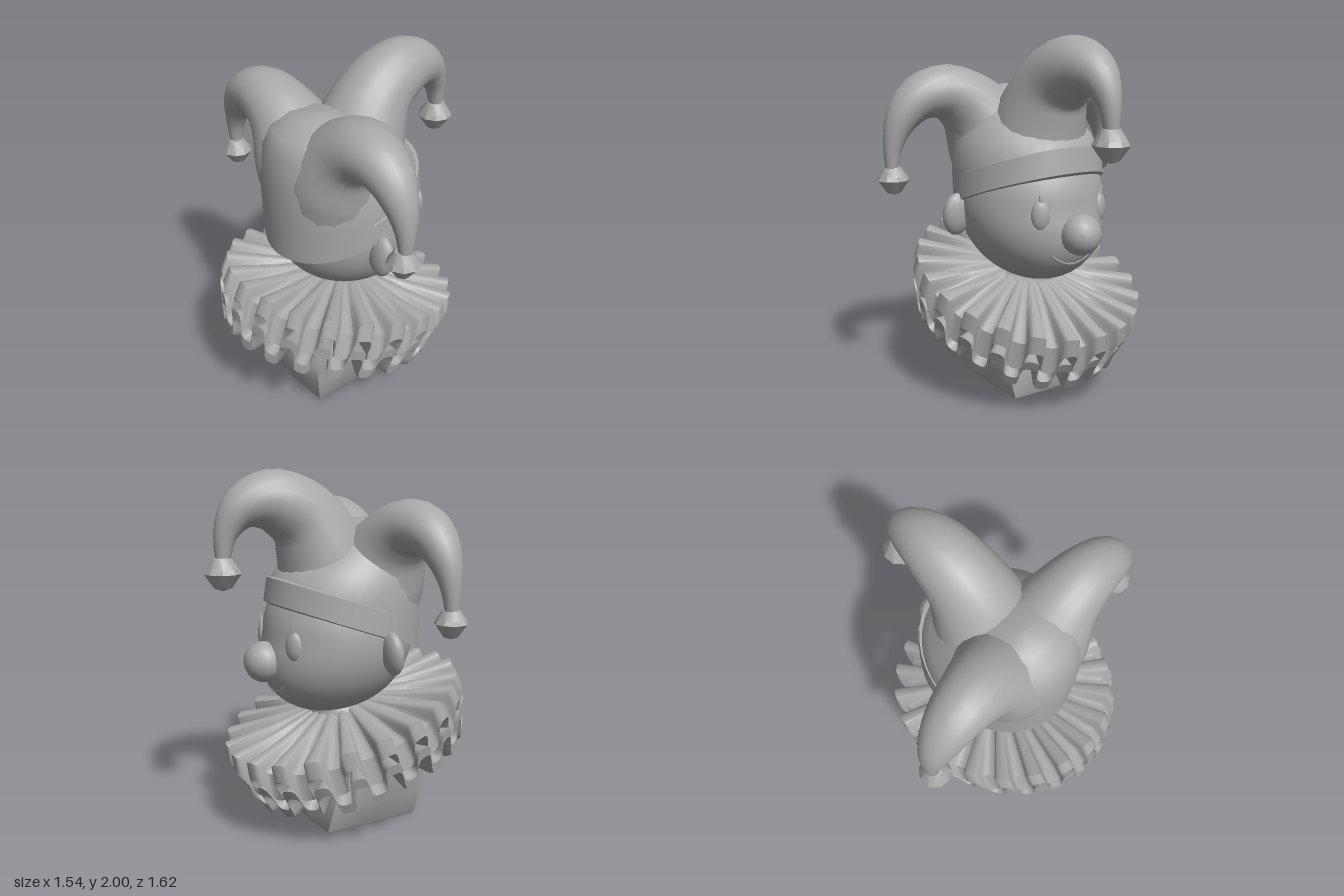
import * as THREE from 'three';
import { toCreasedNormals } from 'three/addons/utils/BufferGeometryUtils.js';

const grey = new THREE.MeshStandardMaterial({ color: 0xa8a8a8, side: THREE.DoubleSide });
grey.name = 'plain grey';

function add(parent, name, geometry, x = 0, y = 0, z = 0) {
  const mesh = new THREE.Mesh(geometry, grey);
  mesh.name = name;
  mesh.position.set(x, y, z);
  parent.add(mesh);
  return mesh;
}

// Skin over rows of points; point(row, u) returns [x, y, z] with u from 0 to 1
function loft(rows, segments, point, crease, wrap = true) {
  const pos = [], index = [];
  const n = wrap ? segments : segments + 1;
  for (let r = 0; r < rows; r++)
    for (let s = 0; s < n; s++) pos.push(...point(r, s / segments));
  for (let r = 0; r < rows - 1; r++)
    for (let s = 0; s < segments; s++) {
      const a = r * n + s, b = r * n + (s + 1) % n;
      index.push(a, a + n, b, b, a + n, b + n);
    }
  const g = new THREE.BufferGeometry();
  g.setAttribute('position', new THREE.Float32BufferAttribute(pos, 3));
  g.setIndex(index);
  g.computeVertexNormals();
  return crease ? toCreasedNormals(g, crease) : g;
}

// Curved tapering hat horn; points are [outward, height, radius], drift shifts the root sideways
function hornGeometry(points, widen, drift) {
  const curve = new THREE.CatmullRomCurve3(points.map(p => new THREE.Vector3(...p)));
  const rows = 22;
  return loft(rows, 20, (r, u) => {
    const t = r / (rows - 1), p = curve.getPoint(t), d = curve.getTangent(t);
    const len = Math.hypot(d.x, d.y), a = u * Math.PI * 2;
    const c = Math.cos(a) * p.z, s = Math.sin(a) * p.z * widen;
    return [p.x - d.y / len * c, p.y + d.x / len * c, s + drift * (1 - t) ** 2];
  });
}

function bellGeometry() {
  const profile = [[0, -0.09], [0.045, -0.075], [0.098, 0], [0.085, 0.025], [0.05, 0.08], [0, 0.09]];
  return toCreasedNormals(new THREE.LatheGeometry(profile.map(p => new THREE.Vector2(...p)), 9), 0.6);
}

// Head ellipsoid with the jaw pushed forward
const HEAD = { y: 1.1, rx: 0.43, ry: 0.44, rz: 0.405 };
const jutJaw = (x, y) => x + 0.15 * Math.max(0, HEAD.y - y) * (1 + x / HEAD.rx);
function faceX(y, z) {
  const k = 1 - ((y - HEAD.y) / HEAD.ry) ** 2 - (z / HEAD.rz) ** 2;
  return jutJaw(HEAD.rx * Math.sqrt(Math.max(0, k)), y);
}

function buildHead(group) {
  const g = new THREE.SphereGeometry(1, 40, 28);
  g.scale(HEAD.rx, HEAD.ry, HEAD.rz);
  g.translate(0, HEAD.y, 0);
  const p = g.attributes.position;
  for (let i = 0; i < p.count; i++) p.setX(i, jutJaw(p.getX(i), p.getY(i)));
  g.computeVertexNormals();
  add(group, 'head', g);
  add(group, 'nose', new THREE.SphereGeometry(0.112, 14, 10), 0.455, 0.98, 0);

  // smiling mouth
  const smile = [];
  for (let i = -4; i <= 4; i++) {
    const z = i * 0.035, y = 0.81 + 0.06 * (i / 4) ** 2;
    smile.push(new THREE.Vector3(faceX(y, z) - 0.006, y, z));
  }
  add(group, 'mouth', new THREE.TubeGeometry(new THREE.CatmullRomCurve3(smile), 24, 0.01, 6));

  for (const side of [1, -1]) {
    const eye = add(group, 'eye', new THREE.SphereGeometry(1, 16, 12), faceX(1.09, 0.2) - 0.005, 1.09, 0.2 * side);
    eye.scale.set(0.028, 0.08, 0.05);
    eye.rotation.y = -0.5 * side;
    const lash = add(group, 'eyelash', new THREE.ConeGeometry(0.025, 0.09, 5), faceX(1.17, 0.2) + 0.008, 1.17, 0.2 * side);
    lash.rotation.set(0.35 * side, 0, -0.1);
    const ear = add(group, 'ear', new THREE.SphereGeometry(1, 14, 10), -0.1, 1.045, 0.42 * side);
    ear.scale.set(0.05, 0.12, 0.085);
    ear.rotation.z = -0.1;
  }
}

function buildHat(group) {
  // crown rows: height, centre x, radius x, radius z, slope of the brim
  const crown = [
    [1.16, -0.03, 0.44, 0.41, 0.35], [1.3, -0.04, 0.435, 0.41, 0.25],
    [1.45, -0.08, 0.4, 0.39, 0.1], [1.58, -0.14, 0.32, 0.32, 0],
    [1.67, -0.18, 0.23, 0.26, 0], [1.73, -0.19, 0.12, 0.15, 0], [1.74, -0.19, 0.001, 0.001, 0]];
  const ring = ([y, cx, rx, rz, slope], a) => {
    const x = cx + rx * Math.cos(a);
    return [x, y + slope * x, rz * Math.sin(a)];
  };
  add(group, 'hatCrown', loft(crown.length, 40, (r, u) => ring(crown[r], u * Math.PI * 2)));

  // raised band around the forehead, ending behind the ears
  const band = [
    [1.145, -0.03, 0.42, 0.39, 0.35], [1.155, -0.03, 0.445, 0.42, 0.35],
    [1.29, -0.04, 0.435, 0.415, 0.35], [1.305, -0.04, 0.4, 0.38, 0.35]];
  add(group, 'hatBand', loft(band.length, 36, (r, u) => ring(band[r], (u - 0.5) * Math.PI * 1.15), 0.7, false));

  add(group, 'frontHorn', hornGeometry([
    [0.04, 1.3, 0.3], [0.1, 1.55, 0.255], [0.22, 1.75, 0.2], [0.4, 1.835, 0.165],
    [0.56, 1.8, 0.115], [0.65, 1.68, 0.065], [0.675, 1.52, 0.035]], 1, 0));
  add(group, 'frontBell', bellGeometry(), 0.675, 1.47, 0);

  for (const side of [1, -1]) {
    const horn = hornGeometry([
      [0.08, 1.25, 0.27], [0.15, 1.46, 0.255], [0.28, 1.63, 0.185], [0.42, 1.7, 0.15],
      [0.57, 1.67, 0.12], [0.675, 1.56, 0.085], [0.725, 1.42, 0.05], [0.735, 1.28, 0.03]], 1.08, -0.09 * side);
    add(group, 'sideHorn', horn, -0.235, 0, 0).rotation.y = -side * Math.PI / 2;
    add(group, 'sideBell', bellGeometry(), -0.24, 1.245, 0.725 * side).scale.setScalar(0.88);
  }
}

function buildRuff(group) {
  const ruff = new THREE.Group();
  ruff.name = 'ruff';
  ruff.position.set(-0.08, 0.51, 0);
  ruff.rotation.z = -0.304;
  ruff.scale.z = 0.875;
  group.add(ruff);

  // rows: radius, radius wave, height, height wave
  const layers = {
    upperPleats: [[0.15, 0, 0.22, 0], [0.4, 0.005, 0.185, 0.015], [0.68, 0.03, 0.14, 0.05],
      [0.7, 0.025, 0.02, 0.075], [0.66, 0.025, 0.0, 0.075], [0.3, 0, 0, 0.01]],
    lowerPleats: [[0.3, 0, -0.02, 0], [0.5, 0.01, -0.03, 0.04], [0.69, 0.02, -0.05, 0.075],
      [0.675, 0.02, -0.11, 0.075], [0.63, 0.02, -0.125, 0.075], [0.25, 0, -0.1, 0.01]]
  };
  for (const [name, rows] of Object.entries(layers)) {
    add(ruff, name, loft(rows.length, 308, (i, u) => {
      const a = u * Math.PI * 2, [r, rw, h, hw] = rows[i];
      const wave = Math.tanh(1.4 * Math.cos(22 * a)) / 0.885;
      // fold the pleats sideways a little towards the rim
      const b = a + 0.05 * (r - 0.3) * Math.sin(44 * a);
      const radius = r + rw * wave;
      return [radius * Math.cos(b), h + hw * wave, radius * Math.sin(b)];
    }, 0.9), name === 'lowerPleats' ? -0.01 : 0);
  }
}

function buildBust(group) {
  // rows: height, centre x, radius x, radius z, squareness
  const rows = [
    [0, -0.1, 0.001, 0.001, 1], [0, -0.1, 0.295, 0.24, 0.85], [0.015, -0.1, 0.305, 0.25, 0.85],
    [0.15, -0.125, 0.335, 0.3, 0.5], [0.3, -0.145, 0.36, 0.345, 0.25], [0.45, -0.15, 0.36, 0.36, 0.1],
    [0.6, -0.12, 0.3, 0.32, 0], [0.74, 0.02, 0.14, 0.14, 0]];
  add(group, 'bust', loft(rows.length, 16, (i, u) => {
    const [y, cx, rx, rz, sq] = rows[i], a = u * Math.PI * 2;
    const c = Math.cos(a), s = Math.sin(a);
    const k = 1 + sq * (1 / Math.max(Math.abs(c), Math.abs(s)) - 1);
    return [cx + rx * c * k, y, rz * s * k];
  }, 0.9));
}

export function createModel() {
  const group = new THREE.Group();
  group.name = 'jesterBust';
  buildBust(group);
  buildRuff(group);
  buildHead(group);
  buildHat(group);
  return group;
}
